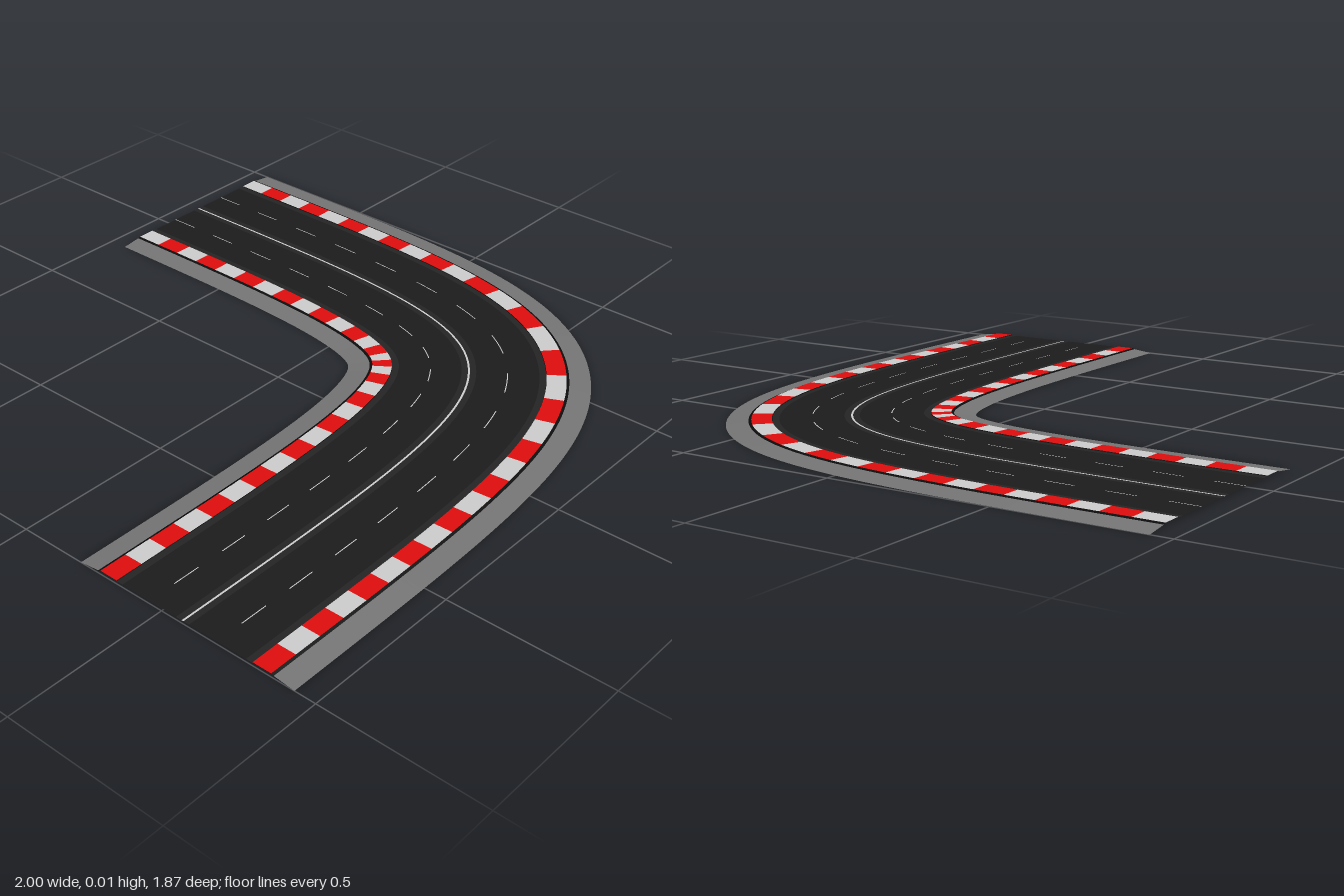
import * as THREE from 'three';

const BLOCKS = 32; // kerb blocks along the road, alternating red and white
const SUB = 6;     // cross-sections per block

// Centre line of the road: a right-angle bend
const P = (x, z) => new THREE.Vector3(x, 0, z);
const path = new THREE.CubicBezierCurve3(
  P(-1, 0.5725), P(0.6375, 0.5725), P(0.6375, 0.5725), P(0.6375, -0.9375));
path.arcLengthDivisions = 800;

const stations = [];
for (let i = 0; i <= BLOCKS * SUB; i++) {
  const u = i / (BLOCKS * SUB);
  const t = path.getTangentAt(u);
  stations.push({ p: path.getPointAt(u), side: P(-t.z, t.x) });
}

// Sweeps a strip between two [offset, height] points, over the chosen blocks
function strip([o0, y0], [o1, y1], useBlock) {
  const pos = [], index = [];
  for (let b = 0; b < BLOCKS; b++) {
    if (!useBlock(b)) continue;
    for (let k = 0; k <= SUB; k++) {
      const { p, side } = stations[b * SUB + k];
      const n = pos.length / 3;
      pos.push(p.x + side.x * o0, y0, p.z + side.z * o0);
      pos.push(p.x + side.x * o1, y1, p.z + side.z * o1);
      if (k < SUB) index.push(n, n + 1, n + 2, n + 1, n + 3, n + 2);
    }
  }
  const g = new THREE.BufferGeometry();
  g.setAttribute('position', new THREE.Float32BufferAttribute(pos, 3));
  g.setIndex(index);
  g.computeVertexNormals();
  return g;
}

const material = color => new THREE.MeshStandardMaterial({ color, side: THREE.DoubleSide });

export function createModel() {
  const group = new THREE.Group();
  group.name = 'roadBend';
  const mats = {
    apron: material(0x747474), asphalt: material(0x1b1b1b), worn: material(0x242424),
    black: material(0x0c0c0c), red: material(0xdd0c0c), white: material(0xcccccc),
  };
  const all = () => true, even = b => b % 2 === 0, odd = b => b % 2 === 1;
  const R = 0.009, K = 0.011; // road and kerb heights

  // Half cross-section from the centre outwards: name, inner point, outer point, colour, blocks
  const parts = [
    ['centreLine', [0, R], [0.003, R], 'white', all],
    ['centreBand', [0.003, R], [0.022, R], 'worn', all],
    ['innerLane', [0.022, R], [0.1135, R], 'asphalt', all],
    ['laneDashes', [0.1135, R], [0.1165, R], 'white', odd],
    ['laneGaps', [0.1135, R], [0.1165, R], 'asphalt', even],
    ['outerLane', [0.1165, R], [0.21, R], 'asphalt', all],
    ['edgeBand', [0.21, R], [0.23, R], 'worn', all],
    ['kerbInnerFace', [0.23, R], [0.231, K], 'black', all],
    ['redKerb', [0.231, K], [0.29, K], 'red', even],
    ['whiteKerb', [0.231, K], [0.29, K], 'white', odd],
    ['kerbGroove', [0.29, K], [0.298, 0.008], 'black', all],
    ['apron', [0.298, 0.008], [0.3625, 0], 'apron', all],
  ];

  for (const s of [1, -1]) {
    const half = new THREE.Group();
    half.name = s > 0 ? 'outsideOfBend' : 'insideOfBend';
    for (const [name, a, b, mat, use] of parts) {
      const A = [s * a[0], a[1]], B = [s * b[0], b[1]];
      const mesh = new THREE.Mesh(s > 0 ? strip(A, B, use) : strip(B, A, use), mats[mat]);
      mesh.name = name;
      half.add(mesh);
    }
    group.add(half);
  }
  return group;
}
